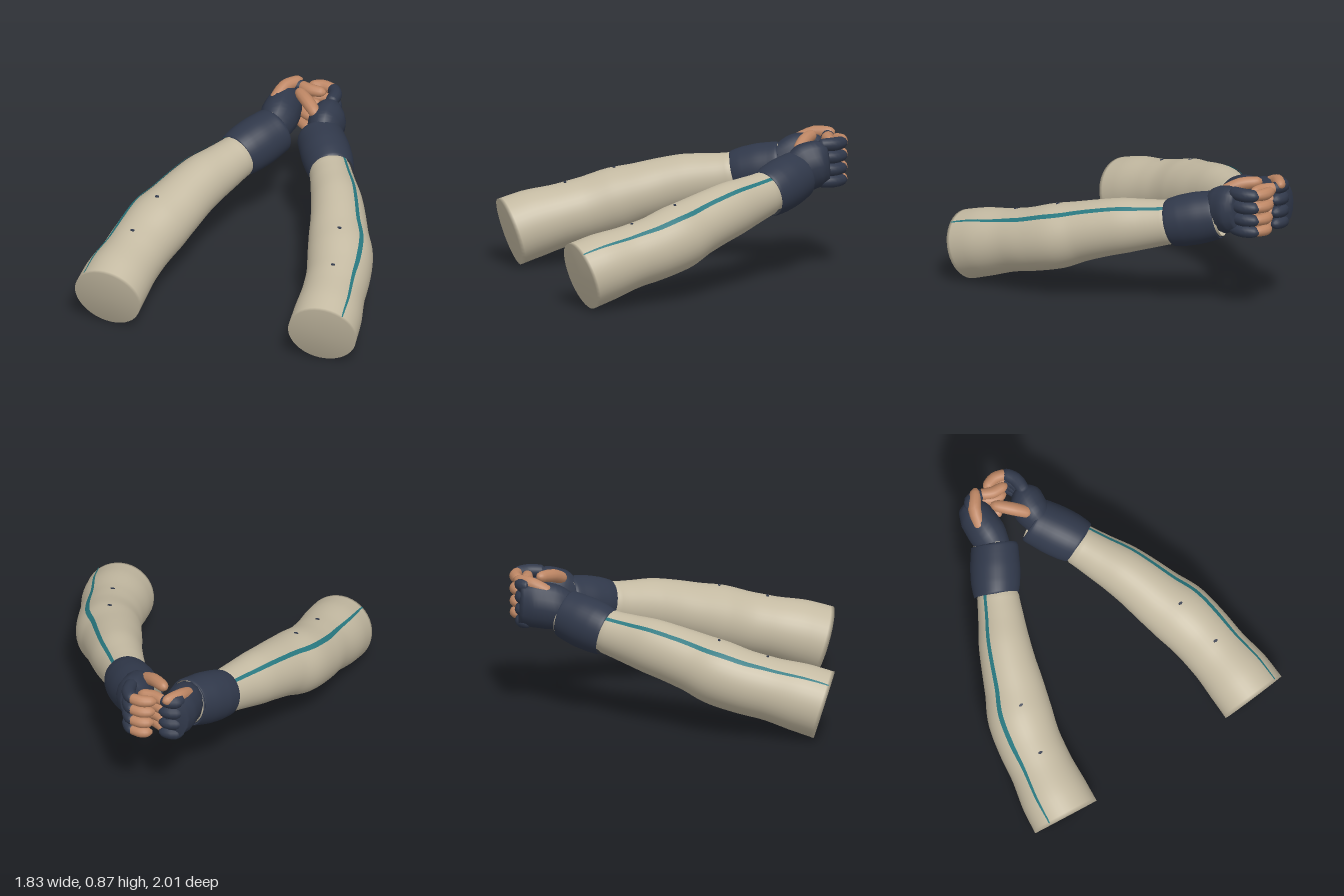
import * as THREE from 'three';

const mat = (name, color, side = THREE.FrontSide) => {
  const m = new THREE.MeshStandardMaterial({ color, side });
  m.name = name;
  return m;
};

// Turns stations [x, y, z, rx, ry] into a smooth path with an elliptical section
function makePath(stations) {
  const centre = new THREE.CatmullRomCurve3(stations.map(p => new THREE.Vector3(p[0], p[1], p[2])));
  const radius = new THREE.CatmullRomCurve3(stations.map(p => new THREE.Vector3(p[3], p[4] ?? p[3], 0)));
  const up = new THREE.Vector3(0, 1, 0);
  return (t, angle, lift = 0) => {
    const c = centre.getPoint(t), r = radius.getPoint(t), dir = centre.getTangent(t);
    const u = new THREE.Vector3().crossVectors(dir, up).normalize();
    const v = new THREE.Vector3().crossVectors(u, dir);
    return c.addScaledVector(u, (r.x + lift) * Math.cos(angle))
      .addScaledVector(v, (r.y + lift) * Math.sin(angle));
  };
}

// Skin over a path; capStart / capEnd close the ends
function tubeAlong(stations, sides, steps, capStart = false, capEnd = false) {
  const at = makePath(stations), pos = [], idx = [];
  for (let i = 0; i <= steps; i++) {
    for (let j = 0; j < sides; j++) pos.push(...at(i / steps, j / sides * Math.PI * 2).toArray());
  }
  for (let i = 0; i < steps; i++) {
    for (let j = 0; j < sides; j++) {
      const k = (j + 1) % sides, a = i * sides + j, b = a + sides, c = i * sides + k, d = c + sides;
      idx.push(a, b, c, b, d, c);
    }
  }
  const cap = (t, row, flip) => {
    const n = pos.length / 3;
    pos.push(...at(t, 0).add(at(t, Math.PI)).multiplyScalar(0.5).toArray());
    for (let j = 0; j < sides; j++) {
      const a = row * sides + j, b = row * sides + (j + 1) % sides;
      idx.push(n, flip ? b : a, flip ? a : b);
    }
  };
  if (capStart) cap(0, 0, false);
  if (capEnd) cap(1, steps, true);
  return finish(pos, idx);
}

function finish(pos, idx) {
  const g = new THREE.BufferGeometry();
  g.setAttribute('position', new THREE.Float32BufferAttribute(pos, 3));
  g.setIndex(idx);
  g.computeVertexNormals();
  return g;
}

// Narrow ribbon lying on the sleeve, tapering toward the shoulder end
function ribbon(stations, angle, from, to, steps) {
  const at = makePath(stations), pos = [], idx = [];
  for (let i = 0; i <= steps; i++) {
    const f = i / steps, t = from + (to - from) * f;
    const half = 0.02 + 0.06 * Math.min(1, f * 3);
    for (let j = -1; j <= 1; j++) pos.push(...at(t, angle + j * half, 0.006).toArray());
    if (i === steps) break;
    for (let j = 0; j < 2; j++) {
      const a = i * 3 + j;
      idx.push(a, a + 3, a + 1, a + 3, a + 4, a + 1);
    }
  }
  return finish(pos, idx);
}

// Stations for the arm on +x, running from the open end to the wrist
const SLEEVE = [
  [0.70, 0.22, 0.945, 0.215], [0.688, 0.265, 0.80, 0.212], [0.66, 0.315, 0.60, 0.196],
  [0.638, 0.35, 0.45, 0.198], [0.60, 0.395, 0.30, 0.203], [0.54, 0.445, 0.15, 0.187],
  [0.485, 0.49, 0, 0.171, 0.178], [0.435, 0.52, -0.12, 0.16, 0.172], [0.37, 0.545, -0.25, 0.143, 0.155],
  [0.305, 0.572, -0.38, 0.13, 0.14], [0.225, 0.61, -0.52, 0.13, 0.14], [0.145, 0.647, -0.655, 0.13, 0.138],
];
const CUFF = [
  [0.31, 0.57, -0.395, 0.132, 0.142], [0.305, 0.573, -0.405, 0.14, 0.15], [0.27, 0.59, -0.46, 0.152, 0.16],
  [0.225, 0.61, -0.53, 0.155, 0.163], [0.18, 0.63, -0.60, 0.15, 0.157], [0.152, 0.643, -0.642, 0.145, 0.15],
  [0.148, 0.645, -0.65, 0.132, 0.14],
];

// Hands are posed separately: one wraps around the other
const HANDS = {
  left: {
    palm: [[0.18, 0.63, -0.57, 0.075, 0.09], [0.165, 0.66, -0.62, 0.088, 0.115],
      [0.16, 0.69, -0.70, 0.11, 0.15], [0.165, 0.71, -0.77, 0.11, 0.145], [0.165, 0.715, -0.835, 0.06, 0.125]],
    thumb: [[0.125, 0.79, -0.66], [0.04, 0.832, -0.73], [-0.045, 0.848, -0.81]],
    base: () => [[0.17, -0.78], [0.167, -0.88], [0.13, -0.955]],
    tip: k => [[0.14, -0.945], [0.06, -0.962], [-0.01 + 0.008 * k, -0.945]],
  },
  right: {
    palm: [[-0.17, 0.635, -0.57, 0.075, 0.09], [-0.15, 0.66, -0.64, 0.095, 0.115],
      [-0.15, 0.69, -0.74, 0.118, 0.145], [-0.15, 0.705, -0.85, 0.11, 0.145], [-0.155, 0.71, -0.935, 0.07, 0.125]],
    thumb: [[-0.19, 0.79, -0.74], [-0.155, 0.837, -0.86], [-0.09, 0.845, -0.95]],
    base: () => [[-0.17, -0.87], [-0.14, -0.92], [-0.06, -0.925]],
    tip: k => [[-0.075, -0.925 + 0.01 * k], [0, -0.89 + 0.018 * k], [0.085 - 0.022 * k, -0.885 + 0.018 * k]],
  },
};

// Rounded digit through three points
function digit(points, r) {
  const [a, b, c] = points.map(p => new THREE.Vector3(...p));
  const st = (p, k) => [p.x, p.y, p.z, r * k];
  const mix = (p, q, f) => p.clone().lerp(q, f);
  return tubeAlong([
    st(a, 0.55), st(mix(a, b, 0.2), 0.95), st(b, 1.05), st(mix(b, c, 0.75), 0.95),
    st(c, 0.75), st(c.clone().add(mix(b, c, 1).sub(b).setLength(r * 0.5)), 0.3),
  ], 12, 15, true, true);
}

export function createModel() {
  const fabric = mat('sleeve fabric', 0xc4baa2, THREE.DoubleSide);
  const navy = mat('navy glove', 0x30384a);
  const teal = mat('teal piping', 0x287880, THREE.DoubleSide);
  const skin = mat('skin', 0xbd8664);
  const model = new THREE.Group();
  model.name = 'pair of sleeved arms';

  for (const [side, s] of [['left', 1], ['right', -1]]) {
    const arm = new THREE.Group();
    arm.name = side + 'Arm';
    model.add(arm);
    const add = (name, geo, material) => {
      const m = new THREE.Mesh(geo, material);
      m.name = side + name;
      arm.add(m);
      return m;
    };
    const mirror = list => list.map(([x, ...rest]) => [x * s, ...rest]);
    const sleeve = mirror(SLEEVE);
    const turn = a => (s > 0 ? a : Math.PI - a);

    // Sleeve, piping and cuff
    add('Sleeve', tubeAlong(sleeve, 40, 66, true), fabric);
    add('Piping', ribbon(sleeve, turn(0.89), 0.008, 0.85, 70), teal);
    add('Cuff', tubeAlong(mirror(CUFF), 40, 36), navy);

    // Small studs on top of the forearm
    const at = makePath(sleeve);
    for (const t of [2.3 / 11, 4.4 / 11]) {
      const angle = turn(1.6), p = at(t, angle), n = at(t, angle, 1).sub(p).normalize();
      const stud = add('Stud', new THREE.CylinderGeometry(0.014, 0.014, 0.008, 12), navy);
      stud.scale.z = 0.6;
      stud.position.copy(p);
      stud.quaternion.setFromUnitVectors(new THREE.Vector3(0, 1, 0), n);
    }

    // Fingerless glove with bare thumb and fingertips
    const hand = HANDS[side];
    add('Palm', tubeAlong(hand.palm, 14, 16, true, true), navy);
    add('Thumb', digit(hand.thumb, 0.039), skin);
    [0.825, 0.745, 0.665, 0.592].forEach((y, k) => {
      const level = list => list.map(([x, z]) => [x, y, z]);
      const r = 0.041 - 0.001 * k;
      add('GloveFinger', digit(level(hand.base(k)), r), navy);
      add('Fingertip', digit(level(hand.tip(k)), r * 0.86), skin);
    });
  }
  return model;
}
